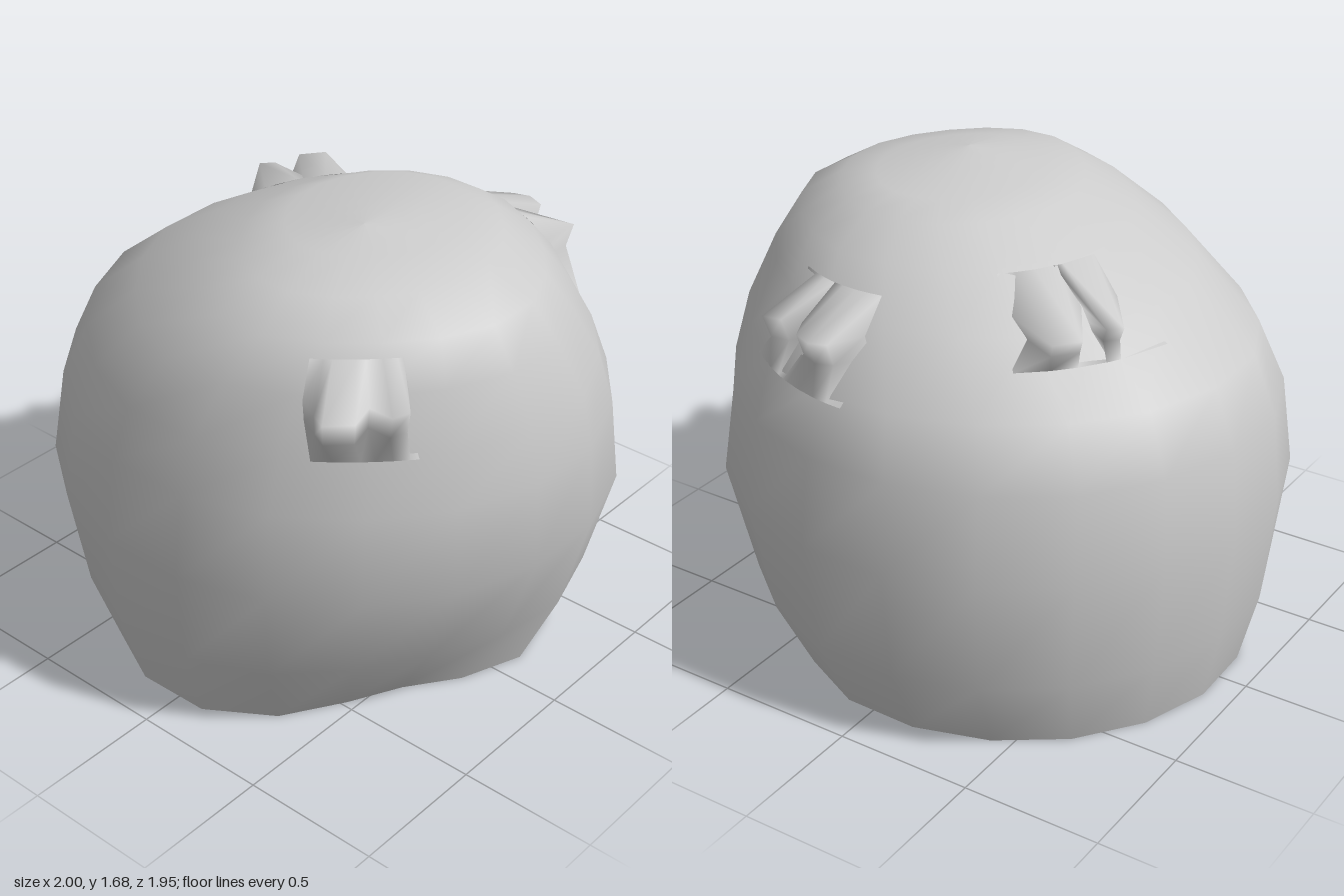
import * as THREE from 'three';

const SIDES = 20;
const material = new THREE.MeshStandardMaterial({ color: 0xcccccc, side: THREE.DoubleSide });

// Body levels from the open rim up: height, min x, max x, min z, max z, diagonal pinch
const LEVELS = [
  [0, -0.9, 0.84, -0.83, 0.85, 0.08],
  [0.28, -0.97, 0.92, -0.95, 0.93, 0.04],
  [0.67, -1, 1, -0.97, 0.98, 0],
  [0.98, -0.97, 0.99, -0.92, 0.95, 0.02],
  [1.18, -0.88, 0.97, -0.84, 0.91, 0.05],
  [1.38, -0.62, 0.9, -0.68, 0.84, 0.06],
  [1.52, -0.38, 0.82, -0.52, 0.72, 0.06],
  [1.61, -0.18, 0.66, -0.38, 0.58, 0.05],
  [1.655, -0.06, 0.5, -0.27, 0.39, 0.03],
  [1.68, 0.27, 0.27, 0.18, 0.18, 0],
];

// Point of the body on one level at angle t
function bodyPoint([y, x0, x1, z0, z1, pinch], t) {
  const c = Math.cos(t);
  const s = Math.sin(t);
  // diagonals are pinched, except at the full back right corner
  const p = c < 0 && s < 0 ? 1 : 1 - pinch * Math.sin(2 * t) ** 2;
  // the front left corner is pressed in near the rim
  const fade = Math.max(0, 1 - y / 0.65) ** 1.6;
  const k = 1 - 0.22 * fade * Math.max(0, Math.cos(t - 0.42)) ** 6;
  return [
    ((x0 + x1) / 2 + (x1 - x0) * 0.505 * c * p) * k,
    y,
    ((z0 + z1) / 2 + (z1 - z0) * 0.505 * s * p) * k,
  ];
}

// Point of the body at height y, in the direction of [x, z]
function bodyBehind(y, [x, z]) {
  const i = LEVELS.findIndex((level) => level[0] > y);
  const [low, high] = [LEVELS[i - 1], LEVELS[i]];
  const f = (y - low[0]) / (high[0] - low[0]);
  const level = low.map((v, n) => v + (high[n] - v) * f);
  const [, x0, x1, z0, z1] = level;
  return bodyPoint(level, Math.atan2(z - (z0 + z1) / 2, x - (x0 + x1) / 2));
}

// Smooth skin over rows of points
function loft(name, rows, closed) {
  const n = rows[0].length;
  const index = [];
  for (let i = 0; i < rows.length - 1; i++) {
    for (let j = 0; j < (closed ? n : n - 1); j++) {
      const a = i * n + j;
      const b = i * n + ((j + 1) % n);
      index.push(a, a + n, b, b, a + n, b + n);
    }
  }
  const geometry = new THREE.BufferGeometry();
  geometry.setAttribute('position', new THREE.Float32BufferAttribute(rows.flat(2), 3));
  geometry.setIndex(index);
  geometry.computeVertexNormals();
  const mesh = new THREE.Mesh(geometry, material);
  mesh.name = name;
  return mesh;
}

// Two-lobed nub: a lip of [x, z] points that blends into the body above and below
function nub(name, y, drop, lip) {
  return loft(name, [
    lip.map((p) => bodyBehind(y - drop, p)),
    lip.map(([x, z]) => [x * 0.97, y - drop * 0.4, z * 0.97]),
    lip.map(([x, z]) => [x, y, z]),
    lip.map((p) => bodyBehind(y + 0.09, p)),
  ], false);
}

export function createModel() {
  const model = new THREE.Group();
  model.name = 'roundShell';

  // Rounded shell, open underneath
  const angles = Array.from({ length: SIDES }, (_, j) => ((j + 0.5) / SIDES) * Math.PI * 2);
  model.add(loft('body', LEVELS.map((level) => angles.map((t) => bodyPoint(level, t))), true));

  // Three small nubs around the top
  model.add(nub('frontNub', 1.39, 0.22, [
    [0.72, 0.5], [0.81, 0.6], [0.79, 0.66], [0.7, 0.66], [0.73, 0.76], [0.66, 0.83], [0.6, 0.8], [0.52, 0.76],
  ]));
  model.add(nub('sideNub', 1.42, 0.12, [
    [-0.48, -0.08], [-0.66, -0.33], [-0.62, -0.37], [-0.46, -0.26], [-0.6, -0.48], [-0.54, -0.56], [-0.28, -0.43],
  ]));
  model.add(nub('backNub', 1.36, 0.2, [
    [0.06, -0.72], [0.12, -0.84], [0.18, -0.86], [0.25, -0.83], [0.29, -0.75], [0.28, -0.65], [0.36, -0.77],
    [0.43, -0.78], [0.43, -0.55],
  ]));
  return model;
}
